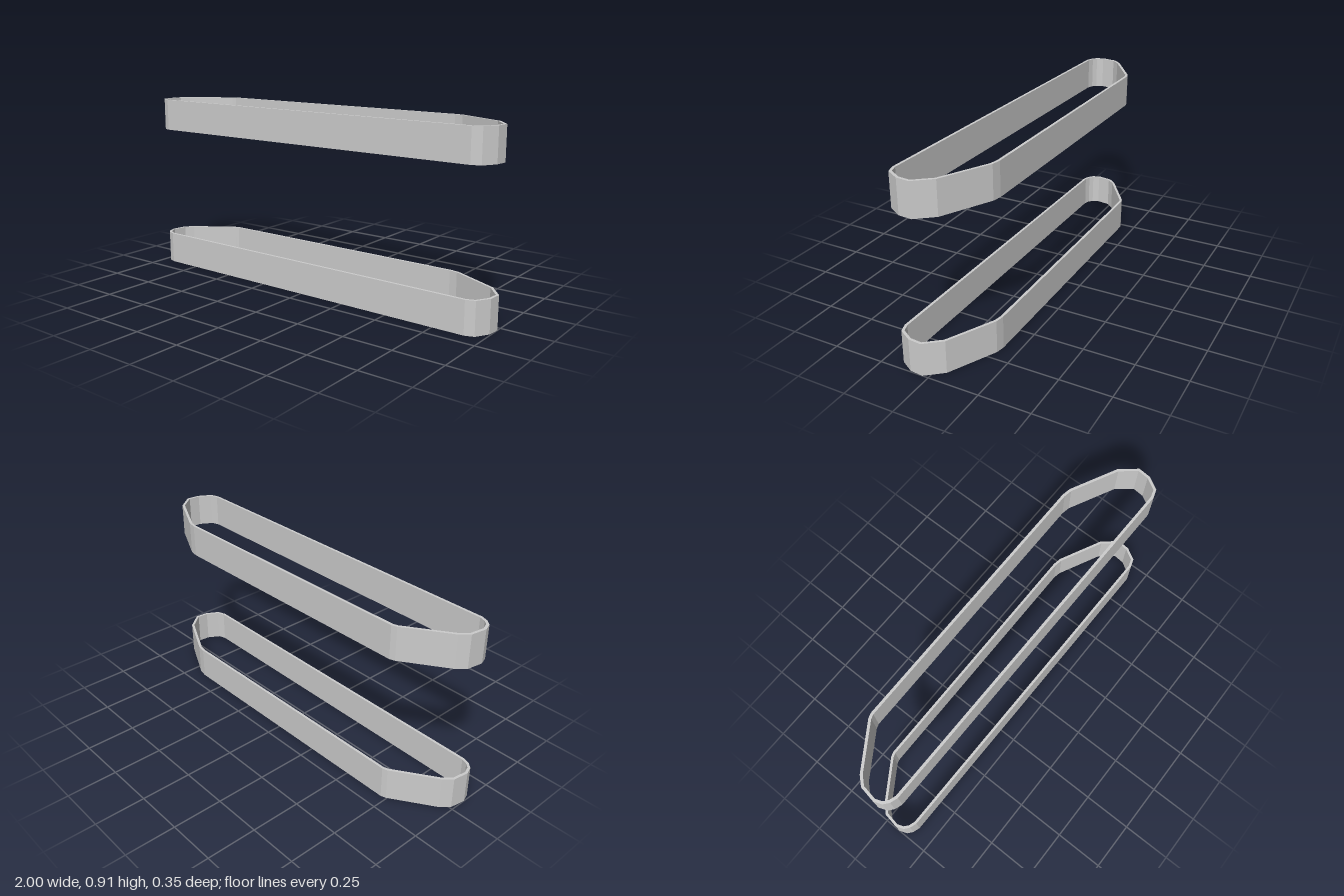
import * as THREE from 'three';

const WALL = 0.013, WIDTH = 0.163;

// outer outline of one track band, as x, z
const OUTLINE = [
  [-0.72, -0.175], [-0.745, -0.167], [-0.95, -0.033], [-0.987, 0.008], [-1, 0.085], [-0.985, 0.125],
  [-0.96, 0.146], [-0.925, 0.158], [0.91, 0.175], [0.955, 0.16], [0.994, 0.095],
  [1, 0.03], [0.933, -0.052], [0.7, -0.167], [0.655, -0.175],
].map(([x, z]) => new THREE.Vector2(x, -z));

// moves every corner inwards so that the wall keeps an even thickness
function inset(points, d) {
  const n = points.length;
  return points.map((p, i) => {
    const a = p.clone().sub(points[(i + n - 1) % n]).normalize();
    const b = points[(i + 1) % n].clone().sub(p).normalize();
    const na = new THREE.Vector2(-a.y, a.x), nb = new THREE.Vector2(-b.y, b.x);
    return na.add(nb).multiplyScalar(d / (1 + a.dot(b))).add(p);
  });
}

export function createModel() {
  const group = new THREE.Group();
  group.name = 'trackPair';
  const material = new THREE.MeshStandardMaterial({ color: 0xcccccc });

  // hollow band, extruded upwards
  const shape = new THREE.Shape(OUTLINE);
  shape.holes.push(new THREE.Path(inset(OUTLINE, WALL)));
  const band = new THREE.ExtrudeGeometry(shape, { depth: WIDTH, bevelEnabled: false });
  band.rotateX(-Math.PI / 2);

  // two identical tracks, one above the other
  [['lowerTrack', 0], ['upperTrack', 0.749]].forEach(([name, y]) => {
    const track = new THREE.Mesh(band, material);
    track.name = name;
    track.position.y = y;
    group.add(track);
  });
  return group;
}
